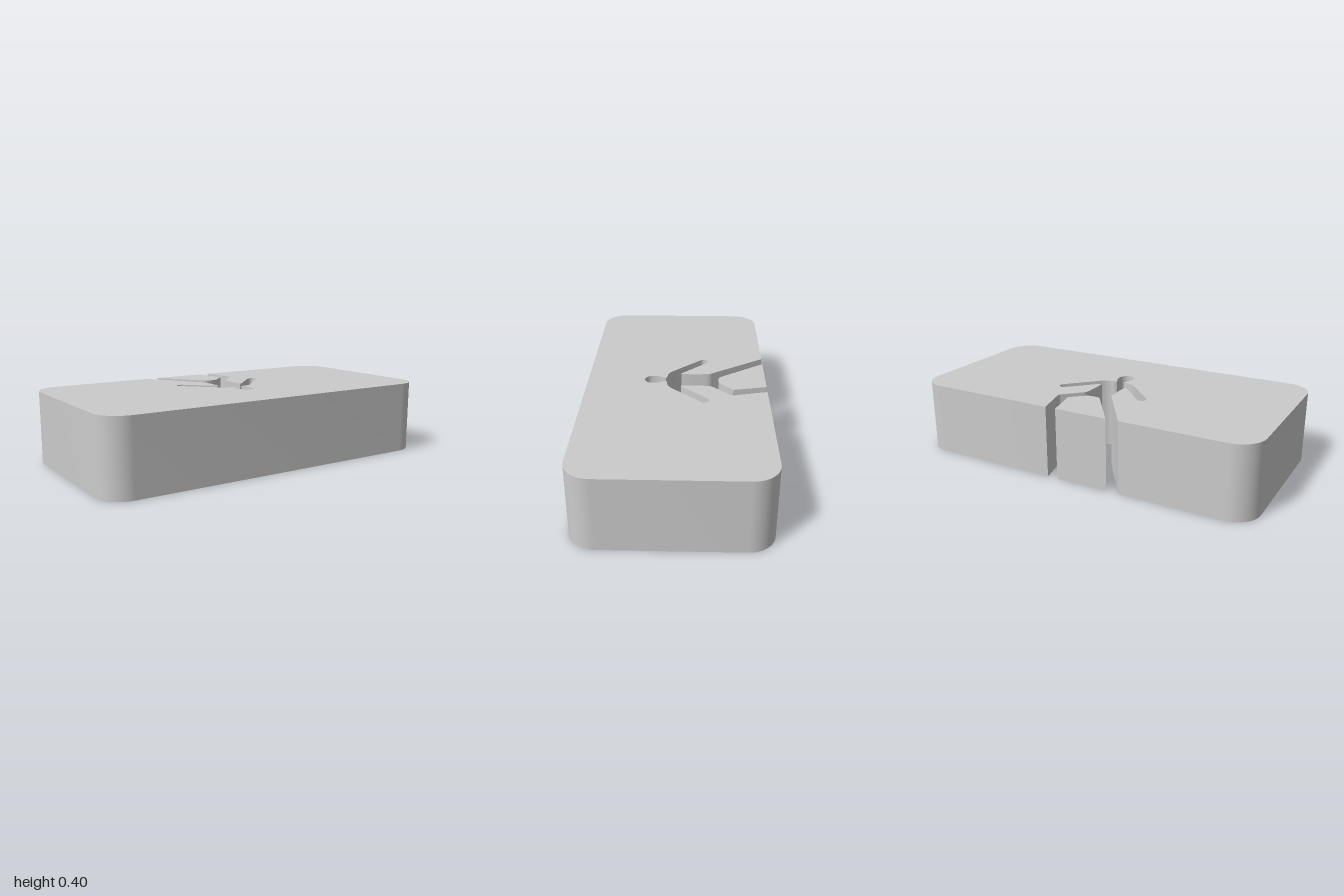
import * as THREE from 'three';
import { toCreasedNormals } from 'three/addons/utils/BufferGeometryUtils.js';

const HEIGHT = 0.4;
const material = new THREE.MeshStandardMaterial({ color: 0xcccccc });

// Plan shapes use (x, -z); the extrusion is laid flat so it stands on y = 0.
function slab(name, shape) {
  const geometry = new THREE.ExtrudeGeometry(shape, { depth: HEIGHT, bevelEnabled: false, curveSegments: 12 });
  geometry.rotateX(-Math.PI / 2);
  const mesh = new THREE.Mesh(toCreasedNormals(geometry, 0.6), material);
  mesh.name = name;
  return mesh;
}

// Left half of the symmetric slot: trunk, slanted arm, neck and round end
function slotHalf() {
  const p = new THREE.Path();
  p.moveTo(0.09, 0.206);
  p.quadraticCurveTo(0.074, 0.19, 0.074, 0.165);
  p.lineTo(0.07, 0.08);
  p.lineTo(0.074, 0.026);
  p.lineTo(0.083, 0.026);
  p.lineTo(0.226, 0.171);
  p.absarc(0.245, 0.153, 0.026, Math.PI * 0.75, -Math.PI * 0.25, true);
  p.lineTo(0.108, -0.025);
  p.quadraticCurveTo(0.08, -0.053, 0.045, -0.053);
  p.quadraticCurveTo(0.02, -0.054, 0.023, -0.066);
  p.bezierCurveTo(0.028, -0.08, 0.044, -0.09, 0.044, -0.132);
  p.absarc(0, -0.136, 0.044, 0, -Math.PI / 2, true);
  return p.getPoints(10);
}

// Rounded block opened from the back by the slot
function bodyShape() {
  const r = 0.14, x = 1 - r, z = 0.5 - r;
  const s = new THREE.Shape();
  s.moveTo(-0.29, 0.5);
  s.lineTo(-x, 0.5);
  s.absarc(-x, z, r, Math.PI / 2, Math.PI, false);
  s.absarc(-x, -z, r, Math.PI, Math.PI * 1.5, false);
  s.absarc(x, -z, r, Math.PI * 1.5, Math.PI * 2, false);
  s.absarc(x, z, r, 0, Math.PI / 2, false);
  s.lineTo(0.14, 0.5);
  s.lineTo(0.184, 0.318);
  s.quadraticCurveTo(0.187, 0.302, 0.178, 0.293);
  const half = slotHalf();
  half.forEach((p) => s.lineTo(p.x, p.y));
  half.reverse().slice(1).forEach((p) => s.lineTo(-p.x, p.y));
  s.closePath();
  return s;
}

// Loose wedge between the two channels
function wedgeShape() {
  const s = new THREE.Shape();
  s.moveTo(-0.22, 0.5);
  s.lineTo(-0.046, 0.257);
  s.quadraticCurveTo(-0.032, 0.236, -0.01, 0.236);
  s.lineTo(0.015, 0.236);
  s.quadraticCurveTo(0.036, 0.236, 0.052, 0.25);
  s.lineTo(0.12, 0.314);
  s.lineTo(0.08, 0.5);
  s.closePath();
  return s;
}

export function createModel() {
  const group = new THREE.Group();
  group.name = 'slottedBlock';
  group.add(slab('body', bodyShape()), slab('wedge', wedgeShape()));
  return group;
}
